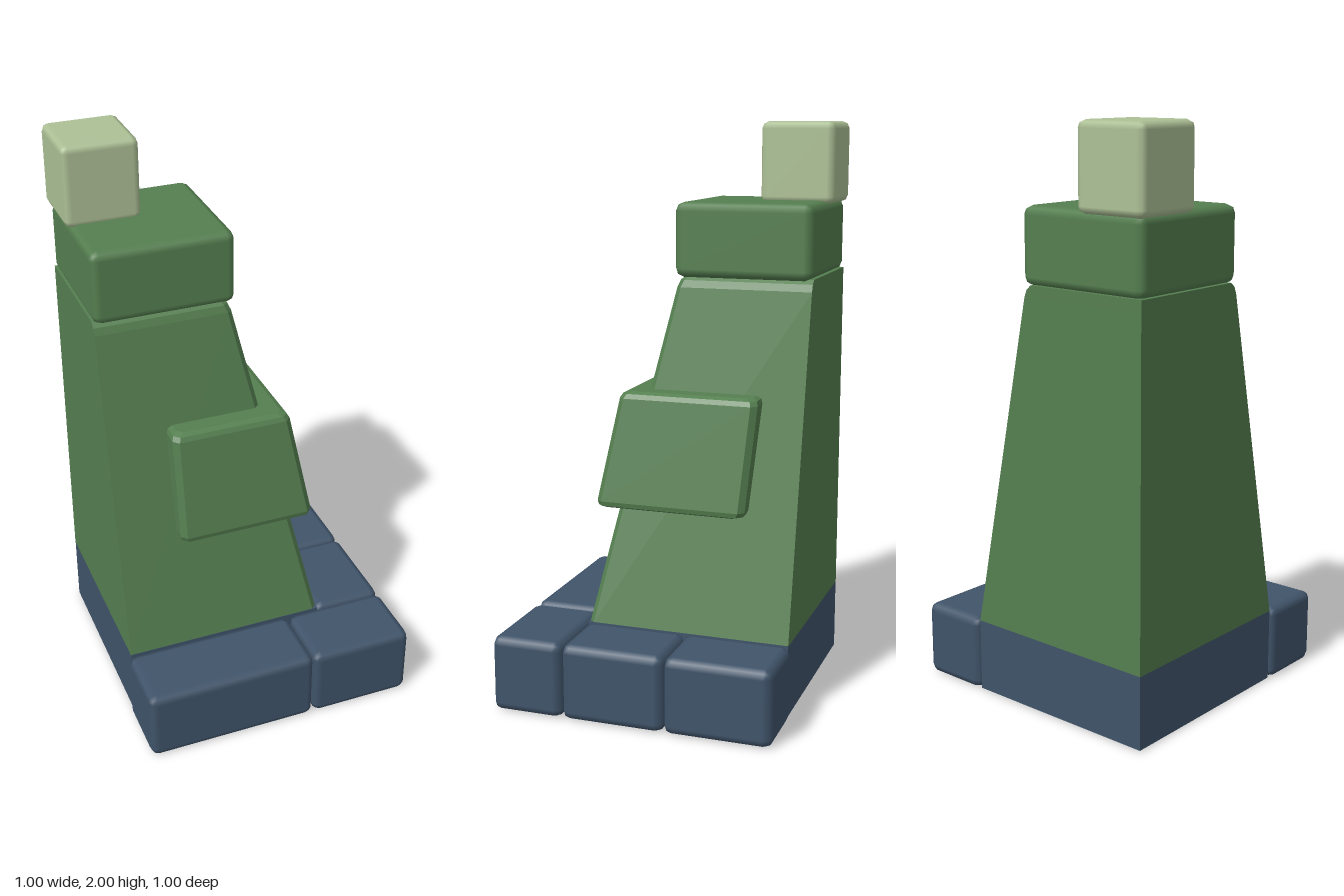
import * as THREE from 'three';
import { RoundedBoxGeometry } from 'three/addons/geometries/RoundedBoxGeometry.js';

function mat(name, color) {
  const m = new THREE.MeshStandardMaterial({ color });
  m.name = name;
  return m;
}

// Skin between horizontal rings of [x, z] points (bottom to top), capped and flat shaded
function loft(levels) {
  const pos = [];
  const put = (p, y) => pos.push(p[0], y, p[1]);
  // rings run counter-clockwise in (x, -z), that is, seen from above
  for (let k = 0; k + 1 < levels.length; k++) {
    const { y: y0, ring: a } = levels[k];
    const { y: y1, ring: b } = levels[k + 1];
    for (let i = 0; i < a.length; i++) {
      const j = (i + 1) % a.length;
      put(a[i], y0); put(a[j], y0); put(b[j], y1);
      put(a[i], y0); put(b[j], y1); put(b[i], y1);
    }
  }
  const cap = ({ y, ring }, up) => {
    const flat = ring.map(([x, z]) => new THREE.Vector2(x, -z));
    for (const [a, b, c] of THREE.ShapeUtils.triangulateShape(flat, [])) {
      const order = up ? [a, b, c] : [a, c, b];
      order.forEach((i) => put(ring[i], y));
    }
  };
  cap(levels[0], false);
  cap(levels[levels.length - 1], true);
  const geo = new THREE.BufferGeometry();
  geo.setAttribute('position', new THREE.Float32BufferAttribute(pos, 3));
  geo.computeVertexNormals();
  return geo;
}

export function createModel() {
  const model = new THREE.Group();
  model.name = 'cornerTower';
  const green = mat('mossGreen', 0x557f50);
  const blue = mat('slateBlue', 0x40546a);
  const pale = mat('paleGreen', 0xadc196);

  const add = (name, geo, material) => {
    const mesh = new THREE.Mesh(geo, material);
    mesh.name = name;
    model.add(mesh);
    return mesh;
  };
  // Block with softened edges, given by its limits on each axis
  const block = (name, material, [x0, x1], [y0, y1], [z0, z1], r = 0.03) => {
    const geo = new RoundedBoxGeometry(x1 - x0, y1 - y0, z1 - z0, 1, r);
    add(name, geo, material).position.set((x0 + x1) / 2, (y0 + y1) / 2, (z0 + z1) / 2);
  };

  // Base: plain core with four blocks around its two outer sides
  const core = add('baseCore', new THREE.BoxGeometry(0.727, 0.26, 0.727), blue);
  core.position.set(-0.123, 0.135, -0.123);
  const h = [0, 0.268];
  block('baseFrontBlock', blue, [-0.5, 0.12], h, [0.24, 0.497]);
  block('baseCornerBlock', blue, [0.12, 0.497], h, [0.24, 0.497]);
  block('baseSideBlock', blue, [0.24, 0.497], h, [-0.125, 0.24]);
  block('baseSideBackBlock', blue, [0.24, 0.497], h, [-0.5, -0.125]);

  // Body: upright at the back, sloping inwards on the two outer sides
  const B = -0.487;
  const bodyRing = (o, c) => [[B, B], [B, o], [o - c, o], [o, o - c], [o, B]];
  add('body', loft([
    { y: 0.262, ring: bodyRing(0.24, 0.018) },
    { y: 1.435, ring: bodyRing(-0.002, 0.018) },
    { y: 1.46, ring: bodyRing(-0.012, 0.018) },
    { y: 1.475, ring: bodyRing(-0.03, 0.012) },
  ]), green);

  // Raised panel wrapped around the sloping corner, with bevelled edges
  const panelRing = (y, inset) => {
    const t = (y - 0.68) / 0.4;
    const o = 0.222 - 0.07 * t - inset;
    const e0 = -0.275 + inset;
    const e1 = -0.315 - 0.027 * t + inset;
    const i = 0.04, c = 0.02;
    return [
      [e0, i], [e0, o - c], [e0 + c, o], [o - c, o], [o, o - c],
      [o, e1 + c], [o - c, e1], [i, e1], [i, i],
    ];
  };
  add('cornerPanel', loft([
    [0.68, 0.022], [0.687, 0.006], [0.703, 0], [1.06, 0], [1.076, 0.006], [1.084, 0.022],
  ].map(([y, inset]) => ({ y, ring: panelRing(y, inset) }))), green);

  // Cap slab and the small block on its corner
  block('cap', green, [-0.487, 0.01], [1.47, 1.728], [-0.487, 0.003]);
  block('topBlock', pale, [-0.5, -0.235], [1.715, 2], [-0.5, -0.235], 0.025);

  return model;
}
